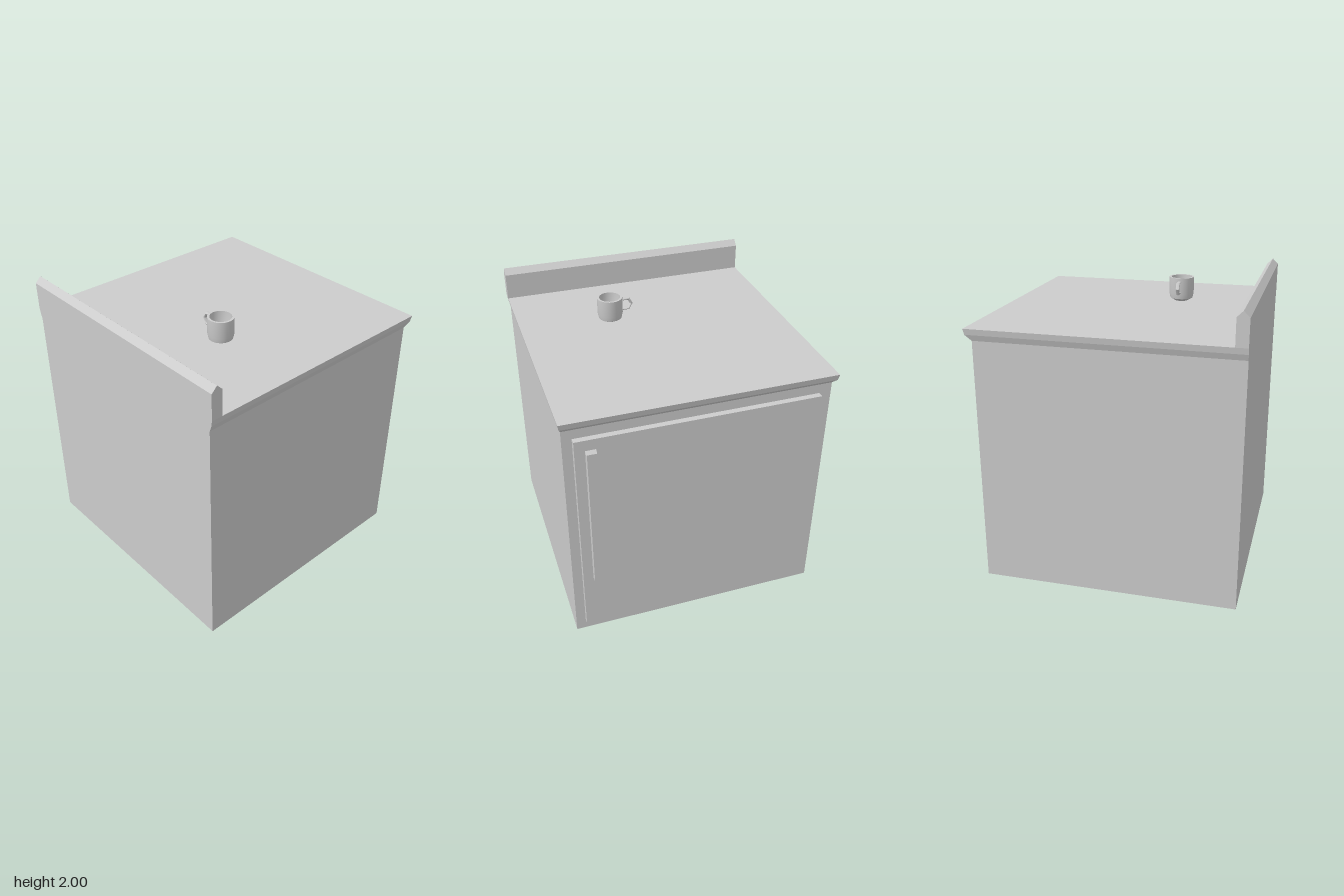
import * as THREE from 'three';
import { toCreasedNormals } from 'three/addons/utils/BufferGeometryUtils.js';

export function createModel() {
  const group = new THREE.Group();
  const flat = new THREE.MeshStandardMaterial({ color: 0xcccccc, flatShading: true });
  const smooth = new THREE.MeshStandardMaterial({ color: 0xcccccc });

  function add(name, geometry, material = flat, parent = group) {
    const mesh = new THREE.Mesh(geometry, material);
    mesh.name = name;
    parent.add(mesh);
    return mesh;
  }

  // Box given by its extents on each axis
  function box(x0, x1, y0, y1, z0, z1, rows = 1) {
    return new THREE.BoxGeometry(x1 - x0, y1 - y0, z1 - z0, 1, rows, 1)
      .translate((x0 + x1) / 2, (y0 + y1) / 2, (z0 + z1) / 2);
  }

  // Outline in x and y, extruded from z0 to z1
  function prism(points, z0, z1) {
    const shape = new THREE.Shape(points.map(([x, y]) => new THREE.Vector2(x, y)));
    return new THREE.ExtrudeGeometry(shape, { depth: z1 - z0, bevelEnabled: false }).translate(0, 0, z0);
  }

  // Cabinet
  add('cabinetBody', box(-0.92, 0.83, 0, 1.7, -0.88, 0.88));
  add('door', box(0.83, 0.87, 0.08, 1.635, -0.8, 0.815));
  add('doorHandle', prism([
    [0.87, 0.505], [0.893, 0.523], [0.916, 0.505],
    [0.916, 1.56], [0.893, 1.542], [0.87, 1.56],
  ], 0.68, 0.748));

  // Worktop: a slab whose lower edge tapers in to the cabinet
  const worktop = box(-0.92, 0.88, 1.7, 1.78, -0.9, 0.9, 2);
  const pos = worktop.attributes.position;
  for (let i = 0; i < pos.count; i++) {
    const y = pos.getY(i);
    const [front, side] = y < 1.72 ? [0.83, 0.88] : y < 1.76 ? [0.872, 0.894] : [0.88, 0.9];
    if (pos.getX(i) > 0) pos.setX(i, front);
    pos.setZ(i, Math.sign(pos.getZ(i)) * side);
  }
  add('worktop', worktop);

  // Backsplash with a ridged top
  add('backsplash', prism([
    [-0.92, 1.78], [-0.84, 1.78], [-0.84, 1.96], [-0.88, 2], [-0.92, 1.96],
  ], -0.9, 0.9));

  // Mug: outer wall, rim, inner wall and floor in one profile
  const mug = new THREE.Group();
  mug.name = 'mug';
  mug.position.set(-0.29, 1.78, 0.27);
  group.add(mug);
  const profile = [
    [0, 0], [0.045, 0], [0.08, 0.02], [0.088, 0.055], [0.088, 0.17],
    [0.073, 0.17], [0.073, 0.06], [0.064, 0.03], [0.028, 0.02], [0, 0.02],
  ].map(([r, y]) => new THREE.Vector2(r, y));
  add('mugCup', toCreasedNormals(new THREE.LatheGeometry(profile, 24), 0.4), smooth, mug);

  // Six-sided ring, cut open where it meets the cup
  const ring = new THREE.TorusGeometry(0.042, 0.01, 8, 4, Math.PI * 4 / 3)
    .rotateZ(-Math.PI * 2 / 3)
    .scale(1, 1, 1.4)
    .rotateY(Math.PI / 2)
    .translate(0, 0.105, -0.111);
  add('mugHandle', toCreasedNormals(ring, 0.9), smooth, mug);

  return group;
}
